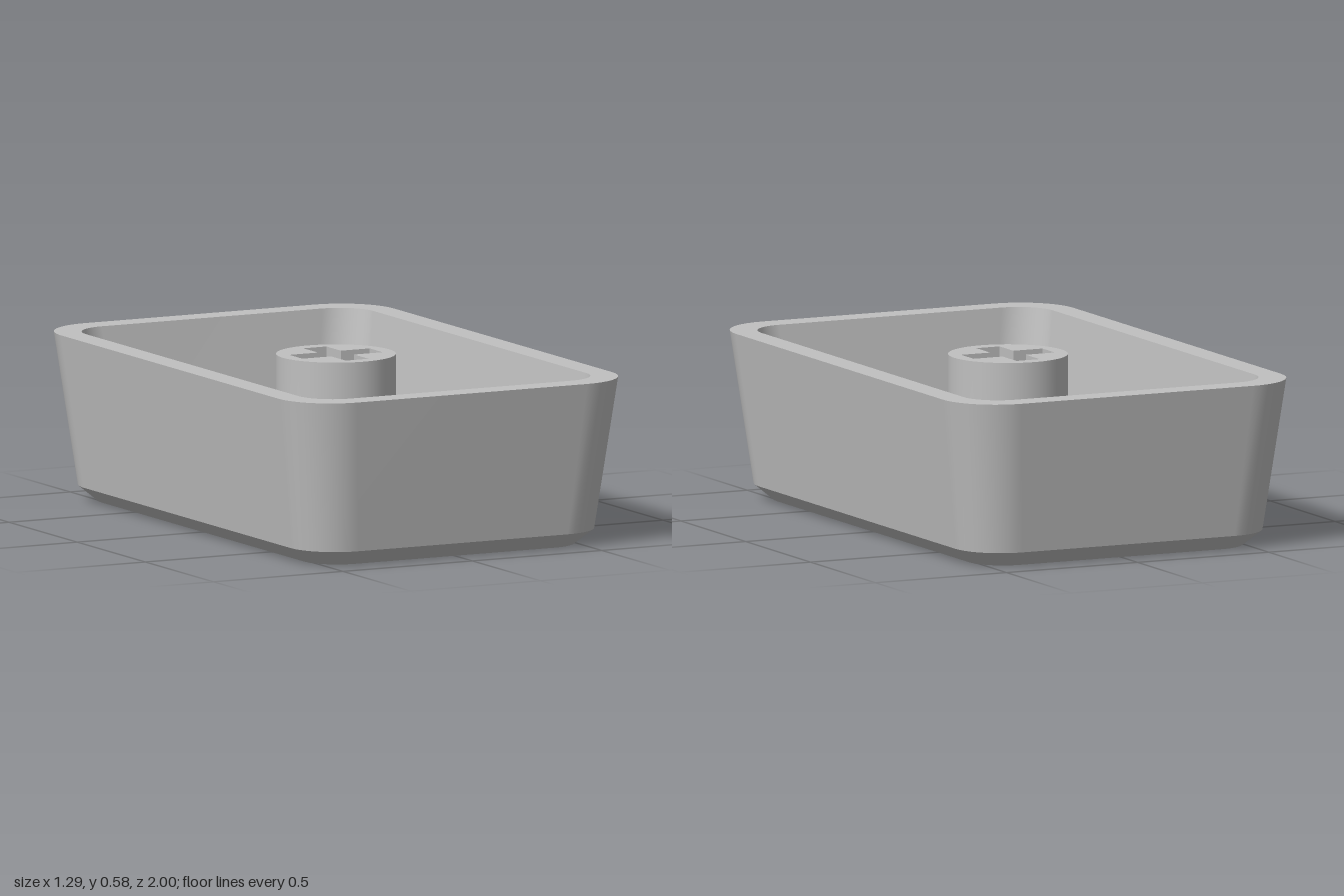
import * as THREE from 'three';

const TOP = 0.58, FLOOR = 0.14, SLOT_BOTTOM = 0.26;
const STEM_R = 0.205, FILLET = 0.095;

// Rounded rectangle outline as [x, z] points
function roundedRect(hx, hz, r, steps = 10) {
  const pts = [];
  [[1, 1], [-1, 1], [-1, -1], [1, -1]].forEach(([sx, sz], q) => {
    for (let i = 0; i <= steps; i++) {
      const a = (q + i / steps) * Math.PI / 2;
      pts.push(new THREE.Vector2(sx * (hx - r) + r * Math.cos(a), sz * (hz - r) + r * Math.sin(a)));
    }
  });
  return pts;
}

function circle(r, n = 64) {
  return Array.from({ length: n }, (_, i) => {
    const a = i / n * Math.PI * 2;
    return new THREE.Vector2(r * Math.cos(a), r * Math.sin(a));
  });
}

// Closed strip of quads between two outlines at two heights
function band(ptsA, yA, ptsB, yB, flat = false) {
  const n = ptsA.length, pos = [], idx = [];
  ptsA.forEach((p) => pos.push(p.x, yA, p.y));
  ptsB.forEach((p) => pos.push(p.x, yB, p.y));
  for (let i = 0; i < n; i++) {
    const j = (i + 1) % n;
    idx.push(i, n + i, j, j, n + i, n + j);
  }
  let geo = new THREE.BufferGeometry();
  geo.setAttribute('position', new THREE.Float32BufferAttribute(pos, 3));
  geo.setIndex(idx);
  if (flat) geo = geo.toNonIndexed();
  geo.computeVertexNormals();
  return geo;
}

// Flat horizontal face, optionally with a hole
function plate(outline, y, hole, down = false) {
  const shape = new THREE.Shape(outline);
  if (hole) shape.holes.push(new THREE.Path(hole));
  const geo = new THREE.ShapeGeometry(shape);
  geo.rotateX(down ? Math.PI / 2 : -Math.PI / 2);
  geo.translate(0, y, 0);
  return geo;
}

export function createModel() {
  const model = new THREE.Group();
  model.name = 'keycap';
  const grey = new THREE.MeshStandardMaterial({ color: 0xc0c0c0 });
  grey.name = 'grey plastic';
  const add = (name, geo) => {
    const mesh = new THREE.Mesh(geo, grey);
    mesh.name = name;
    model.add(mesh);
  };

  // Shell: chamfered base, flared walls, rim, hollow inside
  const base = roundedRect(0.515, 0.87, 0.13);
  const shoulder = roundedRect(0.575, 0.93, 0.17);
  const rimOuter = roundedRect(0.643, 1, 0.2);
  const rimInner = roundedRect(0.555, 0.91, 0.13);
  const floorEdge = roundedRect(0.495, 0.85, 0.13);
  add('baseFace', plate(base, 0, null, true));
  add('baseChamfer', band(base, 0, shoulder, 0.053));
  add('outerWall', band(shoulder, 0.053, rimOuter, TOP));
  add('rim', band(rimOuter, TOP, rimInner, TOP));
  add('innerWall', band(rimInner, TOP, floorEdge, FLOOR));
  add('innerFloor', plate(floorEdge, FLOOR, circle(STEM_R + FILLET)));

  // Stem: round post blending into the floor
  const profile = [];
  for (let i = 0; i <= 10; i++) {
    const t = i / 10 * Math.PI / 2;
    profile.push(new THREE.Vector2(
      STEM_R + FILLET * (1 - Math.sin(t)), FLOOR + FILLET * (1 - Math.cos(t))));
  }
  profile.push(new THREE.Vector2(STEM_R, TOP));
  add('stem', new THREE.LatheGeometry(profile, 64));

  // Cross-shaped slot in the stem
  const w = 0.044, d = 0.048, l = 0.155;
  const cross = [
    [l, -d], [l, d], [w, d], [w, l], [-w, l], [-w, d],
    [-l, d], [-l, -d], [-w, -d], [-w, -l], [w, -l], [w, -d],
  ].map(([x, z]) => new THREE.Vector2(x, z));
  add('stemTop', plate(circle(STEM_R), TOP, cross));
  add('slotWalls', band(cross, TOP, cross, SLOT_BOTTOM, true));
  add('slotFloor', plate(cross, SLOT_BOTTOM));

  return model;
}
